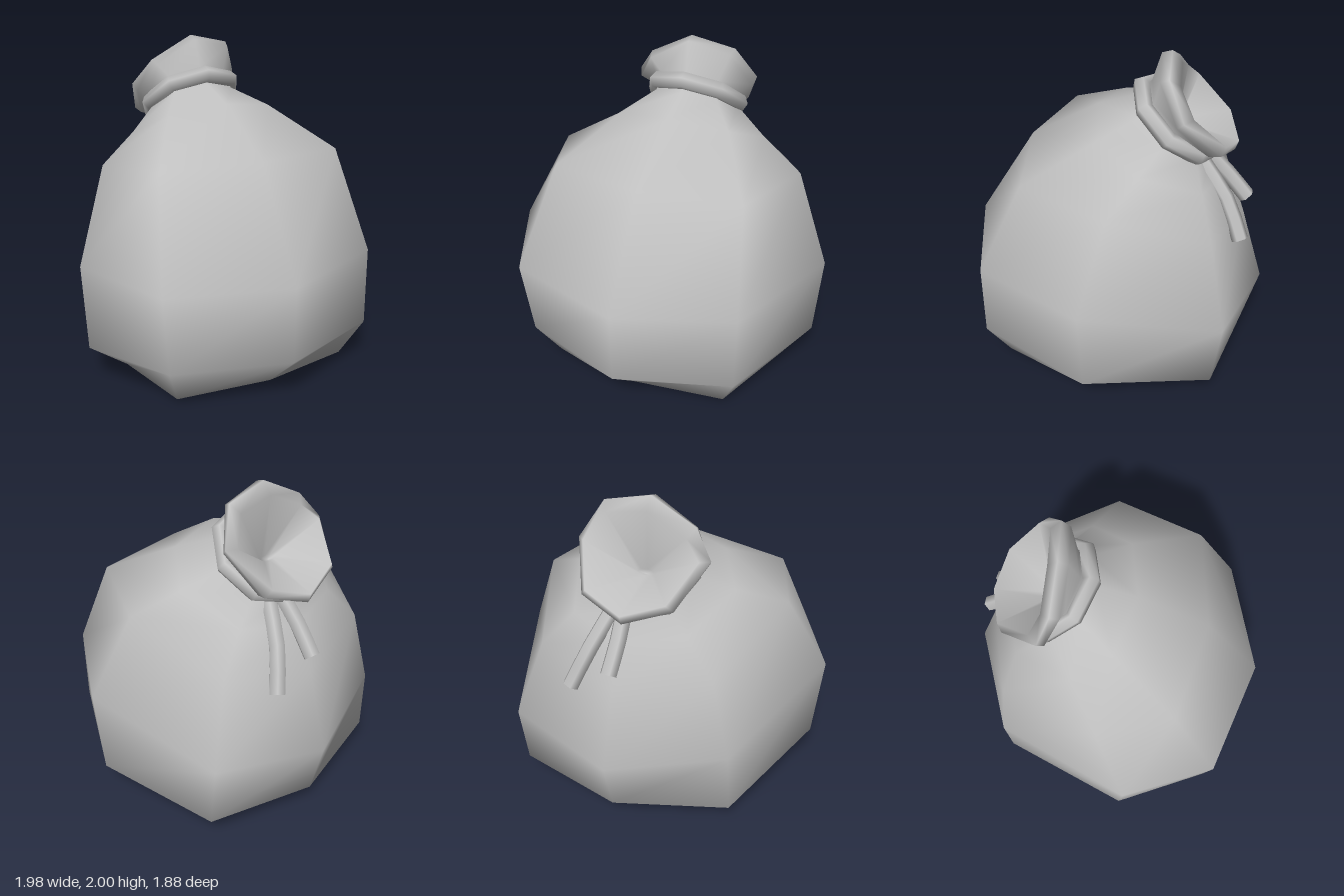
import * as THREE from 'three';

const SIDES = 8;
// Lopsidedness of the cloth at each of the eight corners (front, then towards +x).
const SAG = [0, 0.02, -0.1, -0.17, 0, -0.05, 0.12, 0.04];
// Crookedness of the open mouth, as [y, z] per corner.
const MOUTH = [[0, 0], [0.02, 0], [0.01, 0], [0, 0], [0, 0], [0, 0.02], [-0.02, 0.05], [-0.06, 0.03]];
const EVEN = [1, 1, 1, 1];

// Tilted cross-sections: front [y, z], side [y, z], back [y, z], half width, x shift,
// bulge of the four diagonal corners, and how far the mouth is crooked.
const RINGS = [
  [[0.01, 0], [0.01, 0], [0.01, 0], 0, 0, EVEN, 0],
  [[0.04, 0.69], [0.015, 0.02], [0.005, -0.6], 0.68, 0, [1.2, 1.02, 1.12, 1.2], 0],
  [[0.29, 0.945], [0.26, 0.08], [0.16, -0.85], 0.955, 0, EVEN, 0],
  [[0.75, 0.945], [0.8, 0.1], [0.52, -0.94], 0.99, 0, [0.97, 0.97, 0.94, 1.03], 0],
  [[1.37, 0.56], [1.32, -0.05], [1.0, -0.79], 0.76, 0, [1.1, 0.98, 1, 1.1], 0],
  [[1.63, 0.13], [1.45, -0.2], [1.25, -0.66], 0.49, 0, EVEN, 0],
  // neck under the cord
  [[1.71, -0.1], [1.57, -0.33], [1.39, -0.55], 0.28, -0.01, EVEN, 0],
  [[1.81, -0.19], [1.63, -0.37], [1.41, -0.59], 0.27, -0.02, EVEN, 0],
  // flared mouth with a folded lip
  [[1.98, -0.24], [1.69, -0.39], [1.4, -0.62], 0.36, -0.03, EVEN, 1],
  [[2.0, -0.3], [1.73, -0.43], [1.41, -0.7], 0.38, -0.03, EVEN, 1],
  [[1.93, -0.36], [1.74, -0.48], [1.47, -0.72], 0.33, -0.03, EVEN, 1],
  // inside of the mouth
  [[1.56, -0.34], [1.55, -0.36], [1.54, -0.38], 0.05, -0.02, EVEN, 0],
  [[1.54, -0.36], [1.54, -0.36], [1.54, -0.36], 0, -0.02, EVEN, 0],
];

function sackGeometry() {
  const pos = [], index = [];
  for (const [front, side, back, half, shift, bulge, crooked] of RINGS) {
    for (let j = 0; j < SIDES; j++) {
      const a = (j / SIDES) * Math.PI * 2;
      const c = Math.cos(a), end = c > 0 ? front : back, t = Math.abs(c);
      const out = j % 2 ? bulge[(j - 1) / 2] : 1;
      pos.push(
        Math.sin(a) * half * out + shift,
        side[0] + (end[0] - side[0]) * t + MOUTH[j][0] * crooked,
        side[1] + (end[1] - side[1]) * t * out + SAG[j] * half * half + MOUTH[j][1] * crooked
      );
    }
  }
  for (let i = 0; i < RINGS.length - 1; i++) {
    for (let j = 0; j < SIDES; j++) {
      const k = (j + 1) % SIDES;
      const a = i * SIDES + j, b = i * SIDES + k, c = a + SIDES, d = b + SIDES;
      if (i > 0) index.push(a, b, d);
      if (i < RINGS.length - 2) index.push(a, d, c);
      else index.push(a, b, c);
    }
  }
  const g = new THREE.BufferGeometry();
  g.setAttribute('position', new THREE.Float32BufferAttribute(pos, 3));
  g.setIndex(index);
  g.computeVertexNormals();
  return g;
}

export function createModel() {
  const model = new THREE.Group();
  model.name = 'tiedSack';
  const cloth = new THREE.MeshStandardMaterial({ color: 0xc0c0c0 });
  cloth.name = 'grey cloth';

  function add(name, geometry, parent = model) {
    const mesh = new THREE.Mesh(geometry, cloth);
    mesh.name = name;
    parent.add(mesh);
    return mesh;
  }

  // Sack body, neck and flared mouth
  add('sack', sackGeometry());

  // Cord wrapped round the neck
  const ring = add('neckCord', new THREE.TorusGeometry(0.285, 0.055, 6, 8));
  ring.rotation.x = -Math.PI / 2 - 0.69;
  ring.position.set(-0.01, 1.59, -0.35);

  // Loose cord ends hanging down the back
  function cordEnd(name, points) {
    const group = new THREE.Group();
    group.name = name;
    const v = points.map((p) => new THREE.Vector3(...p));
    const curve = new THREE.CatmullRomCurve3(v);
    add(name + 'Strand', new THREE.TubeGeometry(curve, 4, 0.05, 6), group);
    const tip = add(name + 'Tip', new THREE.CircleGeometry(0.05, 6), group);
    tip.position.copy(v[v.length - 1]);
    tip.quaternion.setFromUnitVectors(new THREE.Vector3(0, 0, 1), curve.getTangent(1));
    model.add(group);
  }
  cordEnd('shortCordEnd', [[0.03, 1.42, -0.53], [0.01, 1.27, -0.67], [0.01, 1.12, -0.8]]);
  cordEnd('longCordEnd', [[0.1, 1.39, -0.52], [0.18, 1.185, -0.695], [0.26, 0.97, -0.8]]);

  return model;
}
